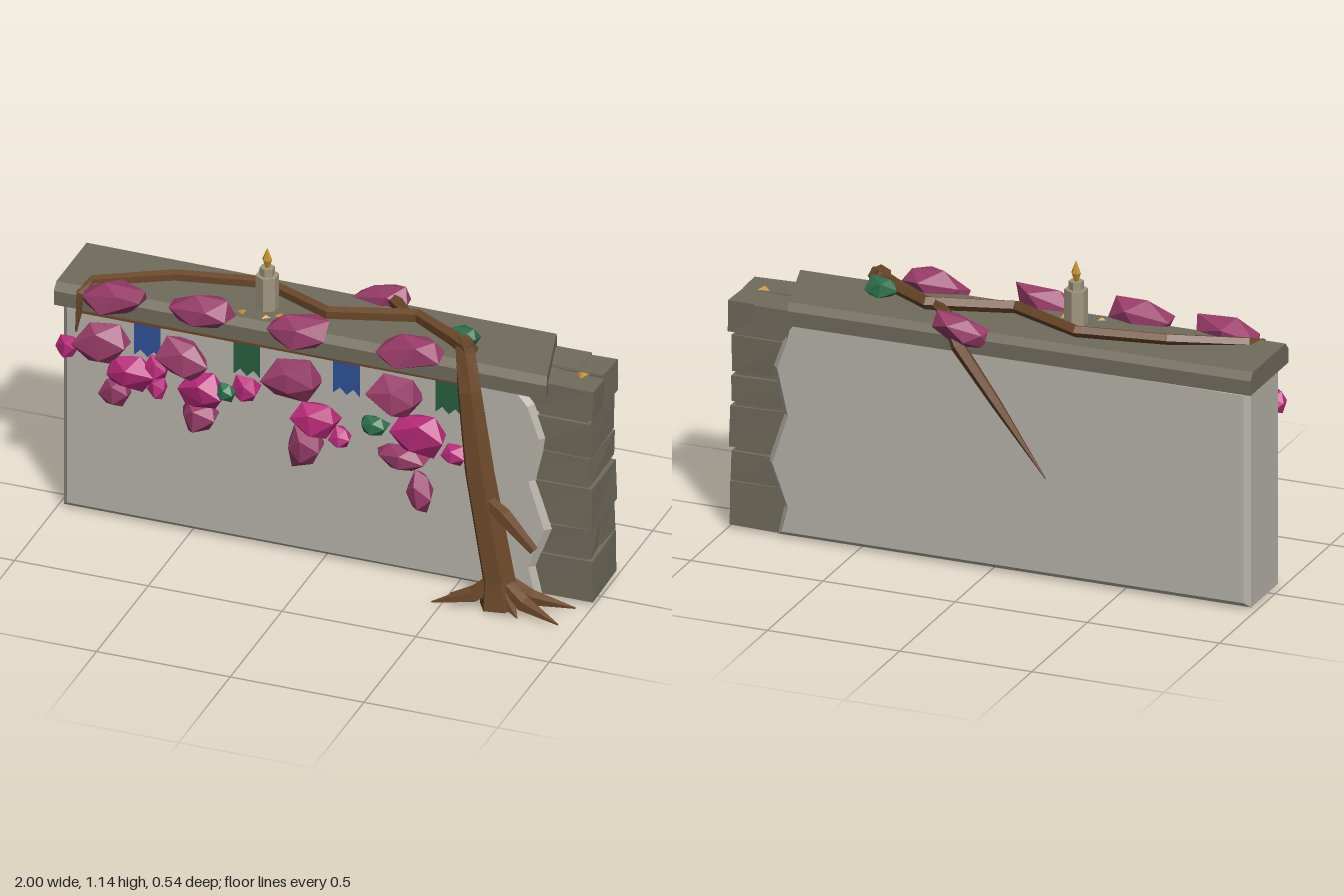
import * as THREE from 'three';

const mat = (name, color) => new THREE.MeshStandardMaterial({ name, color });

// Small repeatable random source
function seeded(seed) {
  let s = seed * 7919 + 17;
  return () => (s = (s * 16807) % 2147483647) / 2147483647;
}

// Shift matching corners together, keeping faces flat
function jitter(geo, amount, seed) {
  const g = geo.index ? geo.toNonIndexed() : geo;
  const rnd = seeded(seed), moved = new Map(), p = g.attributes.position;
  for (let i = 0; i < 5; i++) rnd();
  for (let i = 0; i < p.count; i++) {
    const key = [p.getX(i), p.getY(i), p.getZ(i)].map(v => Math.round(v * 1000)).join();
    if (!moved.has(key)) moved.set(key, [0, 0, 0].map(() => (rnd() * 2 - 1) * amount));
    const [a, b, c] = moved.get(key);
    p.setXYZ(i, p.getX(i) + a, p.getY(i) + b, p.getZ(i) + c);
  }
  g.computeVertexNormals();
  return g;
}

// Faceted tapering limb through points [x, y, z, radius]
function limb(points, sides = 5) {
  const pts = points.map(p => new THREE.Vector3(p[0], p[1], p[2]));
  const rings = pts.map((p, i) => {
    const t = pts[Math.min(i + 1, pts.length - 1)].clone().sub(pts[Math.max(i - 1, 0)]).normalize();
    const n = new THREE.Vector3(0, 0, 1);
    n.addScaledVector(t, -n.dot(t)).normalize();
    const b = t.clone().cross(n);
    return Array.from({ length: sides }, (_, j) => {
      const a = (j + 0.5) / sides * Math.PI * 2;
      return p.clone().addScaledVector(n, Math.cos(a) * points[i][3]).addScaledVector(b, Math.sin(a) * points[i][3]);
    });
  });
  const v = [], last = rings.length - 1;
  for (let j = 0; j < sides; j++) {
    const k = (j + 1) % sides;
    for (let i = 0; i < last; i++) {
      const a = rings[i], c = rings[i + 1];
      v.push(a[j], a[k], c[j], a[k], c[k], c[j]);
    }
    v.push(pts[0], rings[0][k], rings[0][j], pts[last], rings[last][j], rings[last][k]);
  }
  const g = new THREE.BufferGeometry().setFromPoints(v);
  g.computeVertexNormals();
  return g;
}

const polygon = pts => new THREE.Shape(pts.map(p => new THREE.Vector2(p[0], p[1])));

export function createModel() {
  const plaster = mat('plaster', 0xb8b4aa), stone = mat('stone', 0x706b5c);
  const wood = mat('wood', 0x6a4729), plum = mat('plum blossom', 0x983c68);
  const magenta = mat('magenta blossom', 0xb82a7a), leaf = mat('leaf green', 0x2a6e4a);
  const greenCloth = mat('green cloth', 0x285f40), blueCloth = mat('blue cloth', 0x2f5196);
  const wax = mat('candle', 0xa0967f), gold = mat('gold', 0xc0902c);
  greenCloth.side = blueCloth.side = THREE.DoubleSide;

  const model = new THREE.Group();
  model.name = 'floweringWall';
  const add = (name, geo, material, x = 0, y = 0, z = 0) => {
    const m = new THREE.Mesh(geo, material);
    m.name = name;
    m.position.set(x, y, z);
    model.add(m);
    return m;
  };

  // Plastered wall with a broken right edge
  const wall = new THREE.ExtrudeGeometry(polygon([
    [-0.98, 0], [0.81, 0], [0.785, 0.11], [0.845, 0.27], [0.785, 0.455],
    [0.825, 0.63], [0.78, 0.76], [0.73, 0.82], [-0.98, 0.82],
  ]), { depth: 0.242, bevelThickness: 0.02, bevelSize: 0.02, bevelOffset: -0.02, bevelSegments: 1 });
  add('plasterWall', wall, plaster, 0, 0, -0.167);

  // Exposed masonry: [bottom, top, right end, z of the joint or null]
  add('masonryCore', new THREE.BoxGeometry(0.26, 0.83, 0.22), stone, 0.845, 0.415, -0.045);
  [
    [0, 0.165, 0.995, null], [0.178, 0.285, 0.985, -0.028], [0.298, 0.455, 0.995, null],
    [0.468, 0.572, 0.985, null], [0.584, 0.715, 0.99, null], [0.73, 0.848, 0.995, -0.042],
  ].forEach(([y0, y1, right, joint], i) => {
    const spans = joint === null ? [[-0.165, 0.075]] : [[-0.17, joint - 0.005], [joint + 0.005, 0.073]];
    spans.forEach(([z0, z1], j) => {
      const g = new THREE.BoxGeometry(right - 0.74, y1 - y0, z1 - z0);
      const b = add('brick', jitter(g, 0.005, i * 2 + j + 1), stone, (right + 0.74) / 2, (y0 + y1) / 2, (z0 + z1) / 2);
      if (i === 0) b.position.y += 0.004;
    });
  });
  add('cornerBrick', new THREE.BoxGeometry(0.13, 0.1, 0.13), stone, 0.83, 0.8, -0.12);

  // Coping with chamfered top edges and a slanted right end
  const cap = new THREE.ExtrudeGeometry(polygon([
    [-0.12, 0.817], [0.22, 0.817], [0.22, 0.872], [0.198, 0.898], [-0.095, 0.898], [-0.12, 0.872],
  ]), { depth: 1.81, bevelEnabled: false }).rotateY(Math.PI / 2).translate(-1, 0, 0);
  const cp = cap.attributes.position;
  for (let i = 0; i < cp.count; i++) {
    if (cp.getX(i) > 0) {
      cp.setX(i, cp.getX(i) + cp.getZ(i) * 0.27);
      cp.setY(i, cp.getY(i) - 0.008);
    }
  }
  cap.computeVertexNormals();
  add('coping', cap, stone);

  // Trunk, roots and climbing branches
  add('trunk', limb([
    [0.7, 0, 0.19, 0.08], [0.69, 0.1, 0.185, 0.062], [0.61, 0.5, 0.165, 0.056],
    [0.56, 0.8, 0.135, 0.045], [0.535, 0.915, 0.105, 0.04], [0.5, 0.93, 0.03, 0.03],
  ], 6), wood);
  [[0.47, 0.27], [0.79, 0.27], [0.94, 0.262], [0.955, 0.13], [0.51, 0.19], [0.6, 0.12]].forEach(([x, z]) => {
    const mx = 0.7 + (x - 0.7) * 0.4, mz = 0.19 + (z - 0.19) * 0.4;
    add('root', limb([[0.695, 0.1, 0.19, 0.035], [mx, 0.035, mz, 0.03], [x, 0.004, z, 0.003]]), wood);
  });
  add('brokenBranch', limb([[0.62, 0.42, 0.18, 0.02], [0.72, 0.37, 0.215, 0.03], [0.84, 0.265, 0.235, 0.018]]), wood);
  add('topVine', limb([
    [0.545, 0.925, 0.08, 0.032], [0.46, 0.925, 0.02, 0.028], [0.28, 0.922, -0.09, 0.025],
    [-0.02, 0.92, 0, 0.024], [-0.3, 0.918, -0.125, 0.022], [-0.62, 0.915, -0.065, 0.021],
    [-0.88, 0.9, 0.05, 0.02], [-0.9, 0.88, 0.115, 0.02], [-0.915, 0.73, 0.125, 0.004],
  ]), wood);
  add('backBranch', limb([
    [0.25, 0.92, -0.08, 0.02], [0.17, 0.918, -0.165, 0.024], [0.1, 0.84, -0.235, 0.027],
    [-0.04, 0.64, -0.222, 0.02], [-0.22, 0.38, -0.208, 0.002],
  ]), wood);

  // Blossom and leaf clumps: [x, y, z, half width, half height, half depth]
  let seed = 3;
  const clumps = (name, material, lean, list) => list.forEach(([x, y, z, rx, ry, rz]) => {
    const g = jitter(new THREE.IcosahedronGeometry(1, 0), 0.17, seed++);
    const p = g.attributes.position;
    for (let i = 0; i < p.count; i++) p.setX(i, p.getX(i) + lean * p.getY(i));
    g.scale(rx, ry, rz);
    g.computeVertexNormals();
    add(name, g, material, x, y, z);
  });
  clumps('topBlossom', plum, 0.3, [
    [-0.77, 0.895, 0.12, 0.13, 0.07, 0.072], [-0.45, 0.9, 0.12, 0.135, 0.07, 0.072],
    [-0.08, 0.9, 0.12, 0.13, 0.072, 0.072], [0.34, 0.9, 0.12, 0.135, 0.07, 0.072],
    [0.1, 0.89, -0.208, 0.11, 0.065, 0.07],
  ]);
  clumps('hangingBlossom', plum, 0, [
    [-0.82, 0.71, 0.125, 0.105, 0.085, 0.06], [-0.51, 0.7, 0.125, 0.1, 0.085, 0.06],
    [-0.1, 0.7, 0.125, 0.115, 0.095, 0.06], [0.28, 0.71, 0.125, 0.1, 0.09, 0.06],
    [-0.77, 0.52, 0.125, 0.075, 0.065, 0.05], [-0.45, 0.485, 0.125, 0.075, 0.065, 0.05],
    [-0.06, 0.44, 0.125, 0.07, 0.085, 0.05], [0.3, 0.47, 0.125, 0.1, 0.06, 0.05],
    [0.37, 0.35, 0.125, 0.055, 0.085, 0.045],
  ]);
  clumps('brightBlossom', magenta, 0, [
    [-0.71, 0.61, 0.13, 0.1, 0.075, 0.055], [-0.95, 0.665, 0.12, 0.045, 0.045, 0.045],
    [-0.61, 0.57, 0.125, 0.04, 0.05, 0.04], [-0.44, 0.59, 0.13, 0.1, 0.075, 0.055],
    [-0.28, 0.63, 0.125, 0.055, 0.055, 0.045], [-0.02, 0.56, 0.13, 0.09, 0.085, 0.055],
    [0.075, 0.505, 0.125, 0.042, 0.05, 0.04], [0.37, 0.58, 0.13, 0.105, 0.085, 0.055],
    [0.5, 0.525, 0.125, 0.045, 0.042, 0.04], [-0.61, 0.65, 0.125, 0.05, 0.045, 0.04],
  ]);
  clumps('leafClump', leaf, 0, [
    [0.48, 0.92, -0.015, 0.07, 0.042, 0.05], [-0.34, 0.62, 0.16, 0.038, 0.04, 0.035],
    [0.21, 0.6, 0.155, 0.055, 0.042, 0.035],
  ]);

  // Bunting
  add('buntingString', limb([[-0.92, 0.803, 0.108, 0.006], [0.56, 0.803, 0.108, 0.006]], 4), wood);
  const flag = new THREE.ShapeGeometry(polygon([
    [-0.05, 0], [-0.05, -0.135], [-0.025, -0.11], [0, -0.135], [0.025, -0.11], [0.05, -0.135], [0.05, 0],
  ]));
  [-0.655, -0.283, 0.09, 0.472].forEach((x, i) =>
    add('flag', flag, i % 2 ? greenCloth : blueCloth, x, 0.805, 0.107));

  // Candle and flame
  const prism = (r, h) => new THREE.CylinderGeometry(r, r, h, 6).toNonIndexed();
  [prism(0.042, 0.14), prism(0.027, 0.03)].forEach((g, i) => {
    g.computeVertexNormals();
    add('candle', g, wax, -0.25, [0.955, 1.04][i], -0.005);
  });
  add('flame', limb([
    [-0.25, 1.05, -0.005, 0.007], [-0.25, 1.085, -0.005, 0.018], [-0.25, 1.13, -0.005, 0.0005],
  ], 6), gold);

  // Fallen gold leaves
  [[-0.32, 0.898, 0.06], [-0.23, 0.898, 0.065], [-0.185, 0.898, 0.038], [0.92, 0.855, -0.025]].forEach(([x, y, z], i) => {
    const m = add('fallenLeaf', new THREE.ConeGeometry(0.026, 0.012, 3).toNonIndexed(), gold, x, y, z);
    m.geometry.computeVertexNormals();
    m.rotation.y = i * 1.3 + 0.4;
  });

  return model;
}
